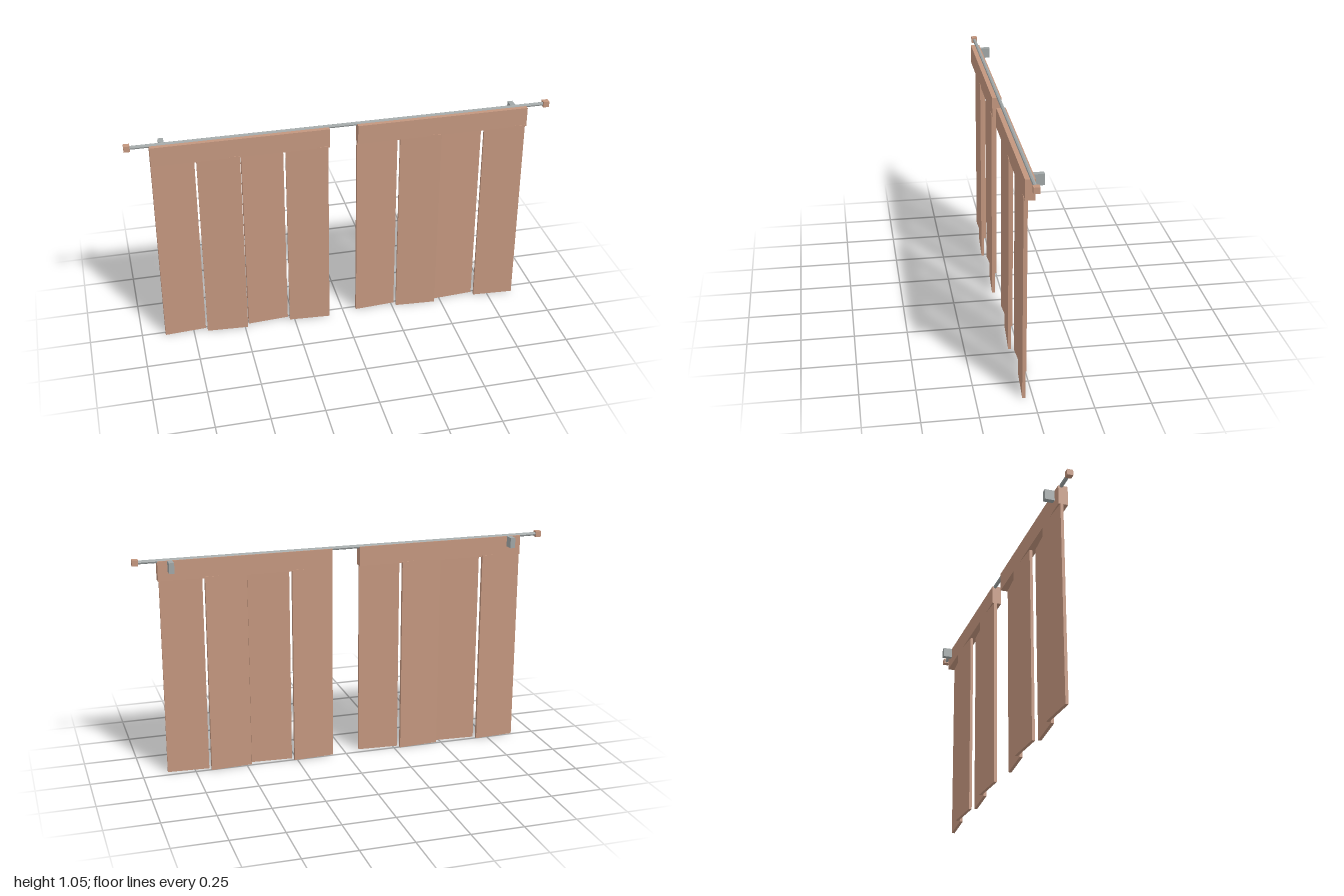
import * as THREE from 'three';

export function createModel() {
  const group = new THREE.Group();
  const fabric = new THREE.MeshStandardMaterial({ name: 'tan fabric', color: 0xc3967e });
  const metal = new THREE.MeshStandardMaterial({ name: 'grey metal', color: 0xa0a6a6, flatShading: true });

  function box(name, material, size, position, parent = group) {
    const mesh = new THREE.Mesh(new THREE.BoxGeometry(...size), material);
    mesh.name = name;
    mesh.position.set(...position);
    parent.add(mesh);
    return mesh;
  }

  // Rod with square end caps
  const rod = new THREE.Mesh(new THREE.CylinderGeometry(0.009, 0.009, 1.95, 8), metal);
  rod.name = 'rod';
  rod.rotation.z = Math.PI / 2;
  rod.position.set(0, 1.041, 0.014);
  group.add(rod);
  for (const side of [-1, 1]) {
    const label = side > 0 ? 'left' : 'right';
    box(label + 'EndCap', fabric, [0.028, 0.028, 0.028], [side * 0.986, 1.041, 0.014]);
    box(label + 'Bracket', metal, [0.024, 0.05, 0.046], [side * 0.83, 1.017, -0.023]);
  }

  // Two curtains, each a header band above four alternately angled panels
  const headerWidth = 0.821, pitch = 0.205, panelWidth = 0.198;
  for (const [name, start] of [['rightCurtain', -0.888], ['leftCurtain', 0.066]]) {
    const curtain = new THREE.Group();
    curtain.name = name;
    group.add(curtain);
    box('header', fabric, [headerWidth, 0.094, 0.044], [start + headerWidth / 2, 0.995, 0.022], curtain);
    for (let i = 0; i < 4; i++) {
      const forward = i % 2 ? 1 : -1;
      const x = start + panelWidth / 2 + i * pitch;
      const panel = box('panel' + (i + 1), fabric, [panelWidth, 0.955, 0.014],
        [x, 0.4775, 0.0213 + forward * 0.0127], curtain);
      panel.rotation.y = -forward * 0.065;
    }
  }
  return group;
}
